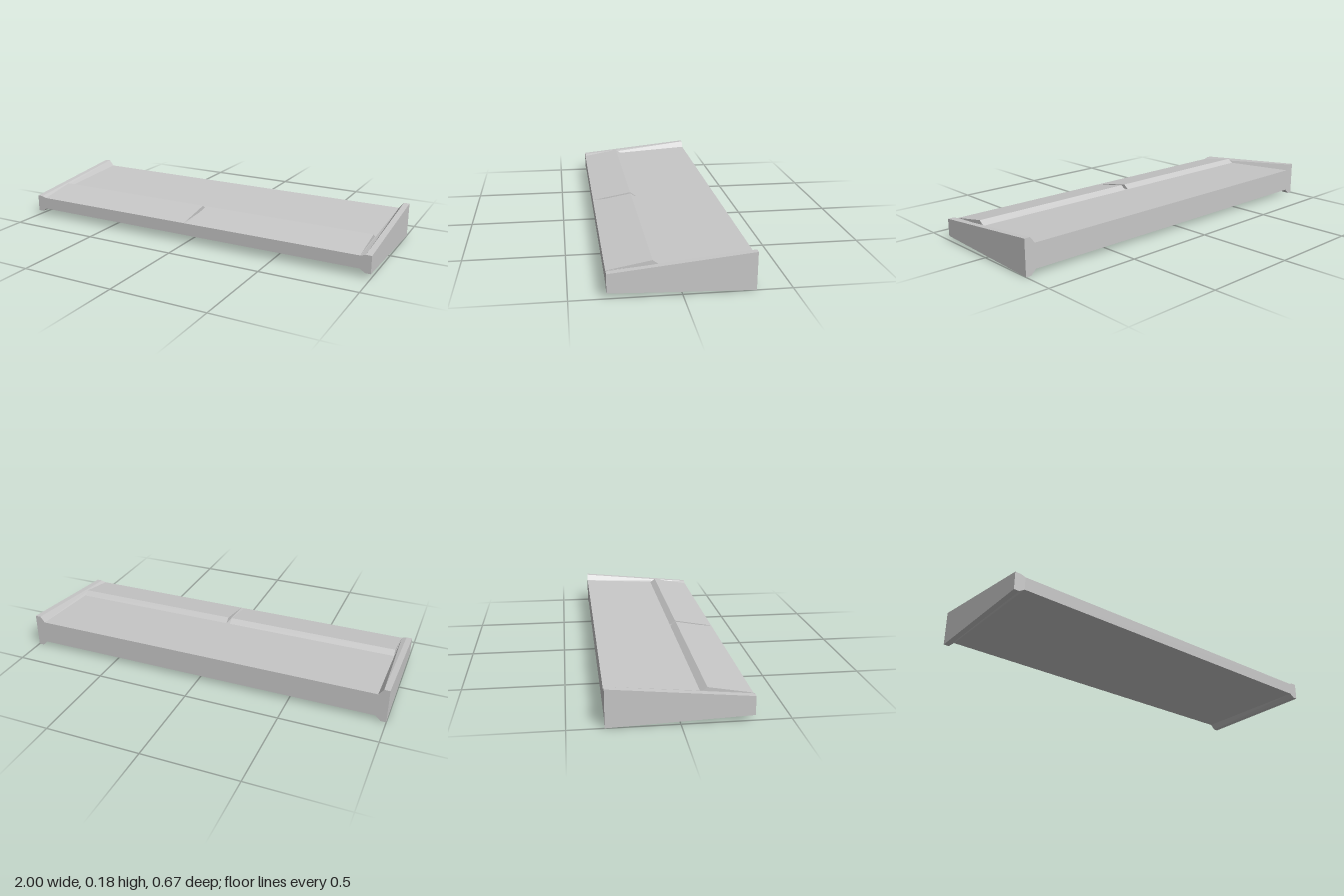
import * as THREE from 'three';

// Flat-sided solid between two matching loops; profile is counter-clockwise as seen from the first end.
function loft(profile, toFirst, toLast) {
  const first = profile.map(toFirst), last = profile.map(toLast);
  const pos = [];
  const tri = (a, b, c) => pos.push(...a, ...b, ...c);
  const flat = profile.map((p) => new THREE.Vector2(p[0], p[1]));
  for (const [a, b, c] of THREE.ShapeUtils.triangulateShape(flat, [])) {
    tri(first[a], first[b], first[c]);
    tri(last[c], last[b], last[a]);
  }
  profile.forEach((_, i) => {
    const j = (i + 1) % profile.length;
    tri(first[i], last[i], last[j]);
    tri(first[i], last[j], first[j]);
  });
  const geometry = new THREE.BufferGeometry();
  geometry.setAttribute('position', new THREE.Float32BufferAttribute(pos, 3));
  geometry.computeVertexNormals();
  return geometry;
}

export function createModel() {
  const group = new THREE.Group();
  const grey = new THREE.MeshStandardMaterial({ color: 0xc8c8c8 });
  grey.name = 'light grey';

  const add = (geometry, name) => {
    const mesh = new THREE.Mesh(geometry, grey);
    mesh.name = name;
    group.add(mesh);
  };

  // Wedge slab with flared end plates: x, height at the front, height at the back
  const half = [
    [0.945, 0.045, 0.028],
    [0.972, 0.027, 0.002],
    [1, 0.027, 0.002],
    [1, 0.118, 0.184],
    [0.97, 0.118, 0.184],
    [0.945, 0.11, 0.152],
  ];
  const mirrored = half.map(([x, f, b]) => [-x, f, b]).reverse();
  add(
    loft([...half, ...mirrored], ([x, f]) => [x, f, 0.333], ([x, , b]) => [x, b, -0.333]),
    'wingBody'
  );

  // Two raised flaps along the front, with a narrow gap at the middle: -z, y
  const flap = [[-0.333, 0.11], [-0.2, 0.1], [-0.095, 0.125], [-0.125, 0.147]];
  const at = (x) => ([u, y]) => [x, y, -u];
  add(loft(flap, at(0.943), at(0.01)), 'leftFlap');
  add(loft(flap, at(-0.01), at(-0.943)), 'rightFlap');

  return group;
}
